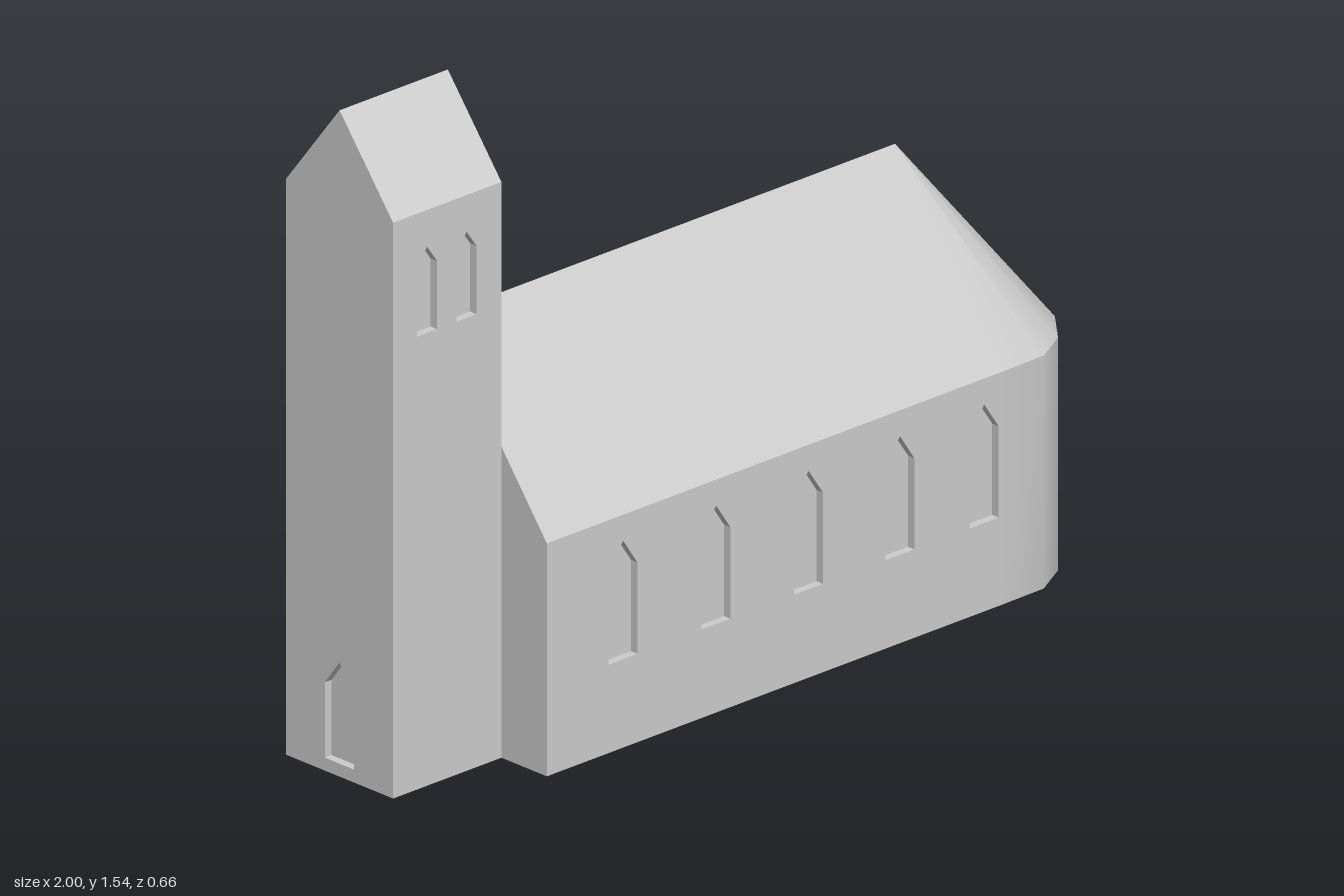
import * as THREE from 'three';

const DEPTH = 0.02; // depth of the window recesses
const stone = new THREE.MeshStandardMaterial({ color: 0xcccccc });
stone.name = 'pale stone';

function add(parent, name, geometry, x = 0, y = 0, z = 0) {
  const mesh = new THREE.Mesh(geometry, stone);
  mesh.name = name;
  mesh.position.set(x, y, z);
  parent.add(mesh);
  return mesh;
}

const polygon = (points) => new THREE.Shape(points.map(([x, y]) => new THREE.Vector2(x, y)));
const extrude = (shape, depth) => new THREE.ExtrudeGeometry(shape, { depth, bevelEnabled: false });

// Opening with a pointed head
function lancet(cx, width, bottom, shoulder, apex) {
  const w = width / 2;
  return polygon([[cx - w, bottom], [cx - w, shoulder], [cx, apex], [cx + w, shoulder], [cx + w, bottom]]);
}

// Side wall slab pierced by openings
function wall(x0, x1, height, openings) {
  const shape = polygon([[x0, 0], [x1, 0], [x1, height], [x0, height]]);
  shape.holes.push(...openings);
  return extrude(shape, DEPTH);
}

// Gabled core running along x, set back under the eaves to take the side walls
function gabledCore(half, eave, ridge, length) {
  const s = half - DEPTH;
  const shape = polygon([[-s, 0], [s, 0], [s, eave], [half, eave], [0, ridge], [-half, eave], [-s, eave]]);
  return extrude(shape, length).rotateY(Math.PI / 2);
}

// Rounded east end: curved wall, faceted cone roof and floor
function apseGeometry(outline, eave, apexX, ridge) {
  const pos = [], index = [], n = outline.length;
  for (const [x, z] of outline) {
    pos.push(x, 0, z, x, eave, z);             // wall
  }
  for (const [x, z] of outline) {
    pos.push(x, eave, z, apexX, ridge, 0);     // roof
  }
  for (const [x, z] of outline) {
    pos.push(x, 0, z, apexX, 0, 0);            // floor
  }
  for (let i = 0; i < n - 1; i++) {
    const w = 2 * i, r = 2 * (n + i), f = 2 * (2 * n + i);
    index.push(w, w + 2, w + 3, w, w + 3, w + 1);
    index.push(r, r + 2, r + 1);
    index.push(f + 1, f + 2, f);
  }
  const geometry = new THREE.BufferGeometry();
  geometry.setAttribute('position', new THREE.Float32BufferAttribute(pos, 3));
  geometry.setIndex(index);
  geometry.computeVertexNormals();
  return geometry;
}

export function createModel() {
  const church = new THREE.Group();
  church.name = 'church';

  // Nave
  const nave = new THREE.Group();
  nave.name = 'nave';
  church.add(nave);
  const x0 = -0.68, x1 = 0.665, half = 0.33, eave = 0.54, ridge = 0.967;
  add(nave, 'naveCoreAndRoof', gabledCore(half, eave, ridge, x1 - x0), x0);
  const naveWindows = [-0.455, -0.18, 0.093, 0.363, 0.612].map((x) => lancet(x, 0.085, 0.205, 0.417, 0.48));
  add(nave, 'naveFrontWall', wall(x0, x1, eave, naveWindows), 0, 0, half - DEPTH);
  add(nave, 'naveBackWall', wall(x0, x1, eave, naveWindows), 0, 0, -half);

  // Apse
  const outline = [
    [x1, half], [0.79, 0.328], [0.88, 0.278], [0.955, 0.19], [1, 0.015],
    [1, -0.035], [0.945, -0.205], [0.87, -0.285], [0.8, -0.33], [x1, -half],
  ];
  add(church, 'apse', apseGeometry(outline, eave, x1, ridge));

  // Tower
  const tower = new THREE.Group();
  tower.name = 'tower';
  tower.position.z = 0.025;
  church.add(tower);
  const t0 = -1 + DEPTH, t1 = x0, tHalf = 0.165, tEave = 1.335, tRidge = 1.545;
  add(tower, 'towerCoreAndRoof', gabledCore(tHalf, tEave, tRidge, t1 - t0), t0);
  const belfry = [-0.9, -0.783].map((x) => lancet(x, 0.06, 1.05, 1.208, 1.25));
  add(tower, 'towerFrontWall', wall(t0, t1, tEave, belfry), 0, 0, tHalf - DEPTH);
  add(tower, 'towerBackWall', wall(t0, t1, tEave, belfry), 0, 0, -tHalf);

  // West gable with the doorway
  const gable = polygon([[-tHalf, 0], [tHalf, 0], [tHalf, tEave], [0, tRidge], [-tHalf, tEave]]);
  gable.holes.push(lancet(0, 0.09, 0.03, 0.205, 0.265));
  add(tower, 'towerWestGable', extrude(gable, DEPTH).rotateY(Math.PI / 2), -1);

  return church;
}
